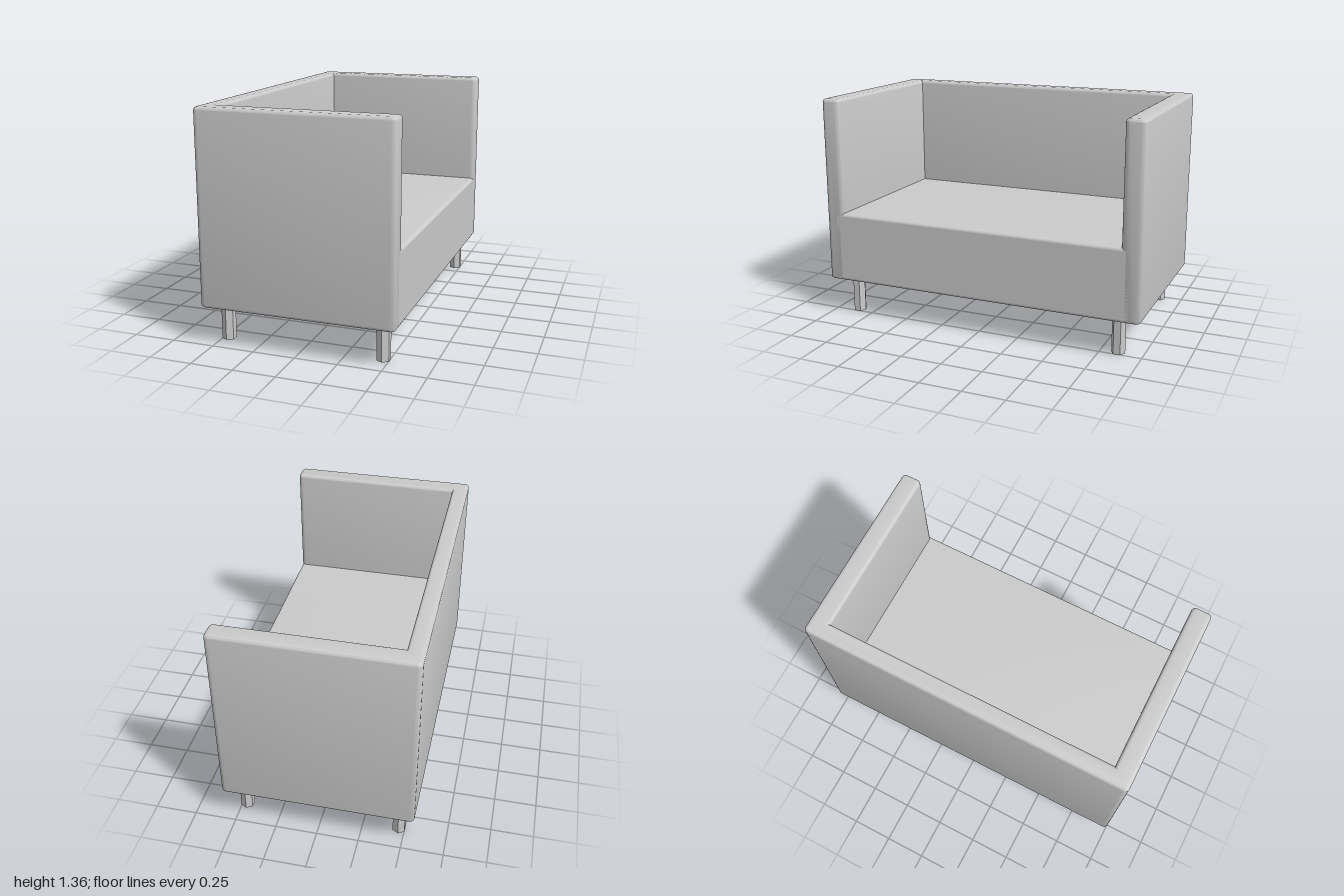
import * as THREE from 'three';
import { toCreasedNormals } from 'three/addons/utils/BufferGeometryUtils.js';
import { RoundedBoxGeometry } from 'three/addons/geometries/RoundedBoxGeometry.js';

const BOTTOM = 0.22, TOP = 1.355, SEAT = 0.652;
const HALF_X = 0.57, HALF_Z = 1, BACK_X = -0.47, ARM_Z = 0.88;

// Closed outline from [x, y, cornerRadius] points
function roundedShape(points) {
  const shape = new THREE.Shape();
  const n = points.length;
  const toward = (a, b, d) => {
    const len = Math.hypot(b[0] - a[0], b[1] - a[1]);
    return [a[0] + (b[0] - a[0]) * d / len, a[1] + (b[1] - a[1]) * d / len];
  };
  points.forEach((p, i) => {
    const start = toward(p, points[(i + n - 1) % n], p[2]);
    const end = toward(p, points[(i + 1) % n], p[2]);
    if (i === 0) shape.moveTo(...start);
    else shape.lineTo(...start);
    if (p[2] > 0) shape.quadraticCurveTo(p[0], p[1], ...end);
  });
  shape.closePath();
  return shape;
}

export function createModel() {
  const group = new THREE.Group();
  const material = new THREE.MeshStandardMaterial({ color: 0xcccccc });
  const add = (name, geometry, x = 0, y = 0, z = 0, mat = material) => {
    const mesh = new THREE.Mesh(geometry, mat);
    mesh.name = name;
    mesh.position.set(x, y, z);
    group.add(mesh);
    return mesh;
  };

  // Back and both arms: one U-shaped plan raised with softened edges
  const r = 0.03, bevel = 0.02;
  const plan = roundedShape([
    [-HALF_X, -HALF_Z, r], [HALF_X, -HALF_Z, r], [HALF_X, -ARM_Z, r], [BACK_X, -ARM_Z, 0],
    [BACK_X, ARM_Z, 0], [HALF_X, ARM_Z, r], [HALF_X, HALF_Z, r], [-HALF_X, HALF_Z, r],
  ]);
  const frame = new THREE.ExtrudeGeometry(plan, {
    depth: TOP - BOTTOM - 2 * bevel, curveSegments: 5,
    bevelEnabled: true, bevelSize: bevel, bevelThickness: bevel,
    bevelOffset: -bevel, bevelSegments: 4,
  });
  frame.rotateX(-Math.PI / 2);
  add('backAndArms', toCreasedNormals(frame, 0.6), 0, BOTTOM + bevel, 0);

  // Seat base fills the U; its ends are buried in the arms and back
  const seatBack = -0.53;
  add('seatBase',
    new RoundedBoxGeometry(HALF_X - seatBack, SEAT - BOTTOM, 1.9, 4, 0.02),
    (HALF_X + seatBack) / 2, (SEAT + BOTTOM) / 2, 0);

  // Slightly domed seat top
  const width = 0.55 - BACK_X;
  const crown = new THREE.PlaneGeometry(width, 2 * ARM_Z, 10, 16).rotateX(-Math.PI / 2);
  const pos = crown.attributes.position;
  for (let i = 0; i < pos.count; i++) {
    const u = pos.getX(i) / (width / 2), v = pos.getZ(i) / ARM_Z;
    pos.setY(i, 0.012 * (1 - u * u) * (1 - v * v));
  }
  crown.computeVertexNormals();
  add('seatTop', crown, (0.55 + BACK_X) / 2, SEAT + 0.001, 0);

  // Four hexagonal legs
  const legMaterial = new THREE.MeshStandardMaterial({ color: 0xcccccc, flatShading: true });
  const leg = new THREE.CylinderGeometry(0.041, 0.041, BOTTOM + 0.01, 6);
  for (const [sx, end] of [[1, 'front'], [-1, 'back']]) {
    for (const [sz, side] of [[1, 'Right'], [-1, 'Left']]) {
      add(`${end}${side}Leg`, leg, sx * 0.467, (BOTTOM + 0.01) / 2, sz * 0.855, legMaterial);
    }
  }
  return group;
}
